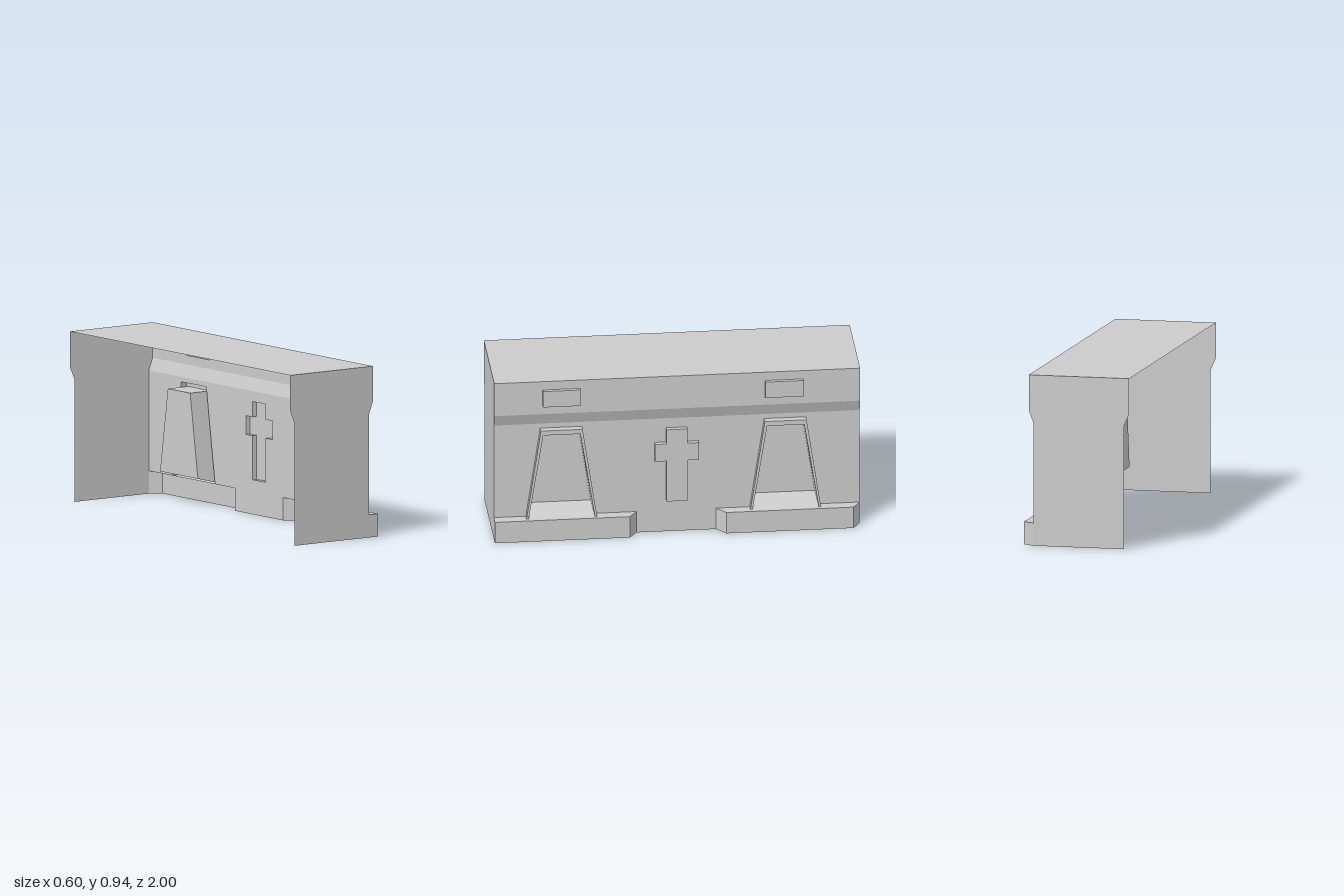
import * as THREE from 'three';

const material = new THREE.MeshStandardMaterial({
  color: 0xcccccc, flatShading: true, side: THREE.DoubleSide,
});

// Main dimensions
const BACK = -0.3, BACK_LOW = -0.27, WALL = 0.236, FASCIA = 0.262, PLINTH = 0.298;
const TOP = 0.94, FASCIA_Y = 0.745, WALL_Y = 0.677, PLINTH_Y = 0.125;
const FRAME = 0.275, NICHE_BACK = 0.136;

const v2 = (pts) => pts.map(([a, b]) => new THREE.Vector2(a, b));

// Flat outline in its own plane, with optional holes
function flat(points, holes = []) {
  const shape = new THREE.Shape(v2(points));
  holes.forEach((h) => shape.holes.push(new THREE.Path(v2(h))));
  return new THREE.ShapeGeometry(shape);
}

// Panel facing +x, given as [z, y] points
function panel(points, x, holes = []) {
  const swap = (pts) => pts.map(([z, y]) => [-z, y]);
  return flat(swap(points), holes.map(swap)).rotateY(Math.PI / 2).translate(x, 0, 0);
}

// Strip of flat quads between two rows of [x, y, z] points
function strip(rowA, rowB, closed = false) {
  const pos = [];
  const n = rowA.length;
  for (let i = 0; i < (closed ? n : n - 1); i++) {
    const j = (i + 1) % n;
    pos.push(...rowA[i], ...rowA[j], ...rowB[j], ...rowA[i], ...rowB[j], ...rowB[i]);
  }
  const g = new THREE.BufferGeometry();
  g.setAttribute('position', new THREE.Float32BufferAttribute(pos, 3));
  g.computeVertexNormals();
  return g;
}

const atX = (pts, x) => pts.map(([z, y]) => [x, y, z]);
const rect = (z0, z1, y0, y1) => [[z1, y0], [z0, y0], [z0, y1], [z1, y1]];

// Open trapezoid path: foot, shoulder, shoulder, foot
const arch = (cz, foot, shoulder, y0, y1) =>
  [[cz + foot, y0], [cz + shoulder, y1], [cz - shoulder, y1], [cz - foot, y0]];

export function createModel() {
  const model = new THREE.Group();

  const add = (parent, name, ...geometries) => {
    const part = new THREE.Group();
    part.name = name;
    geometries.forEach((g) => {
      const mesh = new THREE.Mesh(g, material);
      mesh.name = name + 'Surface';
      part.add(mesh);
    });
    parent.add(part);
  };

  // Raised hollow ornament: sides and front face
  const raised = (name, outline, x0, x1) =>
    add(model, name, strip(atX(outline, x0), atX(outline, x1), true), panel(outline, x1));

  const nicheCentres = [0.632, -0.592];
  const plaques = [rect(0.53, 0.735, 0.795, 0.89), rect(-0.69, -0.48, 0.795, 0.89)];
  const cross = [
    [0.058, 0.19], [0.058, 0.432], [0.122, 0.432], [0.122, 0.535], [0.058, 0.535], [0.058, 0.62],
    [-0.056, 0.62], [-0.056, 0.535], [-0.119, 0.535], [-0.119, 0.432], [-0.056, 0.432], [-0.056, 0.19],
  ];
  const outerArch = (c) => arch(c, 0.193, 0.114, PLINTH_Y, 0.65);
  const innerArch = (c) => arch(c, 0.181, 0.101, PLINTH_Y, 0.623);

  // Top slab
  add(model, 'top', flat([[BACK, -1], [FASCIA, -1], [FASCIA, 1], [BACK, 1]])
    .rotateX(-Math.PI / 2).translate(0, TOP, 0));

  // End walls; only the +z one carries the plinth profile
  const endOutline = (foot) => [
    [BACK_LOW, 0], ...foot, [WALL, WALL_Y], [FASCIA, FASCIA_Y], [FASCIA, TOP],
    [BACK, TOP], [BACK, FASCIA_Y], [BACK_LOW, WALL_Y],
  ];
  add(model, 'leftEndWall',
    flat(endOutline([[PLINTH, 0], [PLINTH, PLINTH_Y], [WALL, PLINTH_Y]])).translate(0, 0, 1));
  add(model, 'rightEndWall', flat(endOutline([[WALL, 0]])).rotateY(Math.PI).scale(-1, 1, 1)
    .translate(0, 0, -1));

  // Long wall, notched for the niches and the hollow plinths
  add(model, 'longWall', panel([
    [1, WALL_Y], [1, PLINTH_Y], ...outerArch(nicheCentres[0]), [0.22, PLINTH_Y], [0.22, 0],
    [-0.215, 0], [-0.215, PLINTH_Y], ...outerArch(nicheCentres[1]), [-1, PLINTH_Y], [-1, WALL_Y],
  ], WALL, [cross]));

  // Sloped moulding and fascia
  add(model, 'slopedMoulding', strip(
    [[WALL, WALL_Y, 1], [WALL, WALL_Y, -1]], [[FASCIA, FASCIA_Y, 1], [FASCIA, FASCIA_Y, -1]]));
  add(model, 'fascia', panel(rect(-1, 1, FASCIA_Y, TOP), FASCIA, plaques));

  // Ornaments
  plaques.forEach((p) => raised('plaque', p, FASCIA, 0.283));
  raised('cross', cross, WALL, 0.263);

  // Plinths with bevelled ends, plan given as [x, z]
  const plinths = [
    [[WALL, 1], [PLINTH, 1], [PLINTH, 0.262], [WALL, 0.22]],
    [[WALL, -0.215], [PLINTH, -0.265], [PLINTH, -0.96], [WALL, -1]],
  ];
  plinths.forEach((plan) => {
    const row = (y) => plan.map(([x, z]) => [x, y, z]);
    const top = flat(plan.map(([x, z]) => [x, -z])).rotateX(-Math.PI / 2).translate(0, PLINTH_Y, 0);
    add(model, 'plinth', strip(row(0), row(PLINTH_Y)), top);
  });

  // Framed niches with a deep recess and a sloping sill
  nicheCentres.forEach((c) => {
    const outer = outerArch(c), inner = innerArch(c);
    const back = arch(c, 0.172, 0.101, 0.16, 0.623);
    add(model, 'nicheFrame',
      strip(atX(outer, WALL), atX(outer, FRAME)),
      strip(atX(outer, FRAME), atX(inner, FRAME)));
    add(model, 'nicheRecess',
      strip(atX(inner, FRAME), atX(back, NICHE_BACK), true),
      panel(back, NICHE_BACK));
  });

  return model;
}
